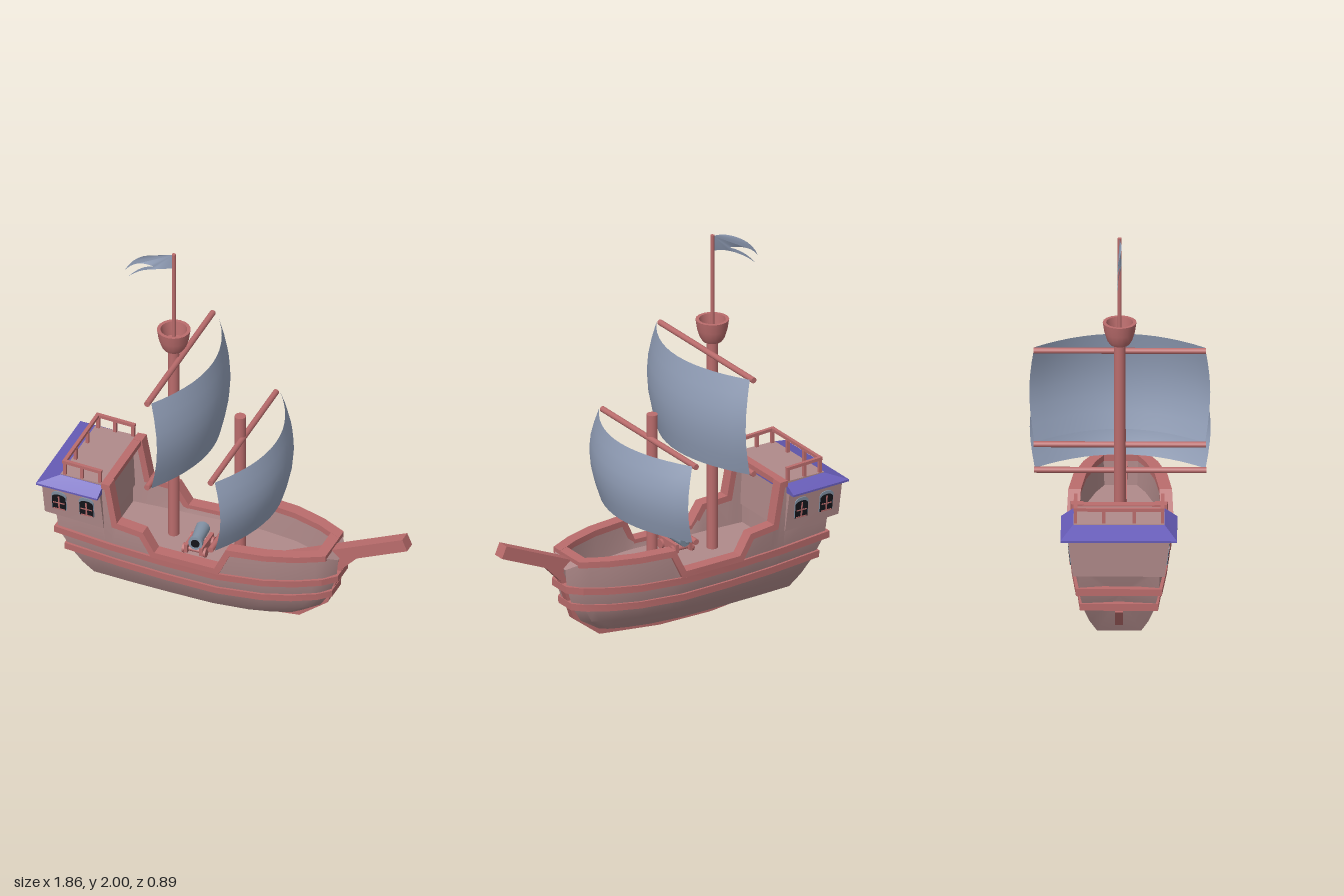
import * as THREE from 'three';
import { toCreasedNormals } from 'three/addons/utils/BufferGeometryUtils.js';

const mat = (name, color, side = THREE.FrontSide) => {
  const m = new THREE.MeshStandardMaterial({ color, side });
  m.name = name;
  return m;
};

export function createModel() {
  const ship = new THREE.Group();
  ship.name = 'sailingShip';
  const trim = mat('redWood', 0xba6c6c), trim2 = mat('redWoodOpen', 0xba6c6c, THREE.DoubleSide);
  const plank = mat('paleWood', 0xb08a8a), cloth = mat('sailCloth', 0x929fb8, THREE.DoubleSide);
  const purple = mat('roofPurple', 0x675cb8), metal = mat('gunMetal', 0x8393a6), black = mat('black', 0x14141a);
  const V = (x, y, z) => new THREE.Vector3(x, y, z);

  const add = (name, geo, material, parent = ship) => {
    const m = new THREE.Mesh(geo, material);
    m.name = name;
    parent.add(m);
    return m;
  };
  const box = (name, x0, x1, y0, y1, z0, z1, material, parent = ship) => {
    const m = add(name, new THREE.BoxGeometry(x1 - x0, y1 - y0, z1 - z0), material, parent);
    m.position.set((x0 + x1) / 2, (y0 + y1) / 2, (z0 + z1) / 2);
    return m;
  };
  const rod = (name, a, b, r0, r1, material, sides = 16) => {
    const m = add(name, new THREE.CylinderGeometry(r1, r0, a.distanceTo(b), sides), material);
    m.position.lerpVectors(a, b, 0.5);
    m.quaternion.setFromUnitVectors(V(0, 1, 0), b.clone().sub(a).normalize());
    return m;
  };

  // Closed skin through rings of points, turned outwards by its signed volume
  const loft = (rings, caps = true, crease = 0.45) => {
    const n = rings[0].length, pts = rings.flat(), idx = [];
    for (let i = 0; i < rings.length - 1; i++) for (let j = 0; j < n; j++) {
      const a = i * n + j, b = i * n + (j + 1) % n;
      idx.push(a, b, b + n, a, b + n, a + n);
    }
    if (caps) [0, rings.length - 1].forEach((r) => {
      const c = pts.length;
      pts.push(rings[r].reduce((s, p) => s.add(p), V(0, 0, 0)).divideScalar(n));
      for (let j = 0; j < n; j++) {
        const a = r * n + j, b = r * n + (j + 1) % n;
        idx.push(...(r ? [a, b, c] : [b, a, c]));
      }
    });
    let vol = 0;
    for (let i = 0; i < idx.length; i += 3) {
      vol += pts[idx[i]].dot(pts[idx[i + 1]].clone().cross(pts[idx[i + 2]]));
    }
    if (vol < 0) idx.reverse();
    const g = new THREE.BufferGeometry().setFromPoints(pts);
    g.setIndex(idx);
    return toCreasedNormals(g, crease);
  };

  // Hull shape: stern x, bow x and half width by height; plan fullness by length
  const profile = [[0.07, -0.7, 0.36, 0.135], [0.14, -0.745, 0.47, 0.18], [0.22, -0.79, 0.52, 0.215],
    [0.34, -0.85, 0.56, 0.245], [0.5, -0.87, 0.575, 0.252], [0.75, -0.87, 0.575, 0.252]];
  const plan = [[0, 0.8], [0.2, 0.9], [0.39, 0.96], [0.6, 1], [0.775, 0.87], [0.88, 0.68], [0.966, 0.44], [1, 0.2]];
  const interp = (table, t, col) => {
    let i = 1;
    while (i < table.length - 1 && t > table[i][0]) i++;
    const a = table[i - 1], b = table[i];
    return THREE.MathUtils.lerp(a[col], b[col], THREE.MathUtils.clamp((t - a[0]) / (b[0] - a[0]), 0, 1));
  };
  const hullX = (u, y) => THREE.MathUtils.lerp(interp(profile, y, 1), interp(profile, y, 2), u);
  const hullZ = (u, y) => interp(profile, y, 3) * interp(plan, u, 1);
  const uAt = (x) => (x + 0.87) / 1.445;

  // Hull with sunken deck: [x, top of wall, deck height]
  const stations = [[-0.87, 0.46, 0.46], [-0.74, 0.46, 0.46], [-0.612, 0.46, 0.46], [-0.61, 0.68, 0.33],
    [-0.57, 0.68, 0.33], [-0.53, 0.465, 0.33], [-0.39, 0.455, 0.33], [-0.33, 0.355, 0.33], [-0.15, 0.355, 0.33],
    [0.005, 0.355, 0.33], [0.062, 0.475, 0.33], [0.25, 0.475, 0.33], [0.4, 0.475, 0.33], [0.485, 0.475, 0.33],
    [0.487, 0.475, 0.475], [0.53, 0.475, 0.475], [0.575, 0.44, 0.44]];
  add('hull', loft(stations.map(([x, top, deck]) => {
    const u = uAt(x);
    const half = [0.07, 0.14, 0.22, 0.34, top].map((y) => V(hullX(u, y), y, hullZ(u, y)));
    half.push(V(hullX(u, top), top, Math.max(hullZ(u, top) - 0.045, 0.005)));
    half.push(V(hullX(u, top), deck, Math.max(hullZ(u, top) - 0.05, 0.004)));
    return [...half, ...half.map((p) => V(p.x, p.y, -p.z)).reverse()];
  })), plank);

  // Keel and stem
  const keel = new THREE.Shape([[-0.8, 0.21], [-0.7, 0.085], [-0.56, 0.03], [-0.3, 0], [0, 0], [0.35, 0.035], [0.5, 0.15],
    [0.575, 0.37], [0.66, 0.46], [0.63, 0.5], [0.53, 0.44], [0.46, 0.2], [0.32, 0.09], [-0.62, 0.09], [-0.74, 0.21]]
    .map((p) => new THREE.Vector2(...p)));
  add('keel', new THREE.ExtrudeGeometry(keel, { depth: 0.04, bevelEnabled: false }).translate(0, 0, -0.02), trim);

  // Top rails, stepped along the hull
  const path = [[-0.61, 0.702], [-0.565, 0.702], [-0.525, 0.488], [-0.385, 0.475], [-0.322, 0.375], [-0.15, 0.375],
    [0, 0.375], [0.057, 0.495], [0.25, 0.495], [0.4, 0.495], [0.53, 0.495]].map((p) => new THREE.Vector2(...p));
  const railRings = (s) => path.map((p, i) => {
    const d0 = p.clone().sub(path[Math.max(i - 1, 0)]).normalize();
    const d1 = path[Math.min(i + 1, path.length - 1)].clone().sub(p).normalize();
    const d = d0.clone().add(d1).normalize();
    const t = 0.032 / Math.max(d.dot(i ? d0 : d1), 0.6);
    const q = V(p.x + d.y * t, p.y - d.x * t, 0);
    const zo = hullZ(uAt(p.x), 0.5) + 0.01, zi = zo - 0.062;
    return [V(p.x, p.y, s * zo), V(q.x, q.y, s * zo), V(q.x, q.y, s * zi), V(p.x, p.y, s * zi)];
  });
  for (const s of [1, -1]) add(s > 0 ? 'frontRail' : 'backRail', loft(railRings(s), true, 0.3), trim);
  box('bowRail', 0.475, 0.53, 0.463, 0.494, -0.115, 0.115, trim);
  box('cabinFrontRail', -0.612, -0.57, 0.672, 0.7, -0.215, 0.215, trim);

  // Rubbing bands around the hull
  const us = [0, 0.1, 0.2, 0.39, 0.6, 0.775, 0.88, 0.966, 1];
  for (const base of [0.222, 0.322]) {
    const side = (s) => us.map((u) => {
      const y = base + 0.08 * (u - 0.55) ** 2, x = hullX(u, y), z = hullZ(u, y);
      const e = u === 0 ? -0.018 : u === 1 ? 0.014 : 0;
      const P = (o, k, dy) => V(x + e * k, y + dy, s * (z + o));
      return [P(0.016, 1, 0.018), P(0.014, 1, -0.018), P(-0.03, -1, -0.018), P(-0.03, -1, 0.018)];
    });
    const rings = [...side(1), ...side(-1).reverse()];
    add('hullBand', loft([...rings, rings[0]], false, 0.3), trim);
  }

  // Bowsprit
  const sprit = box('bowsprit', -0.355, 0.355, -0.033, 0.033, -0.032, 0.032, trim);
  sprit.position.set(0.588, 0.469, 0);
  sprit.rotation.z = 0.406;

  // Stern cabin, roof and top deck
  const rect = (x0, x1, y0, y1, z) => [V(x0, y0, z), V(x1, y1, z), V(x1, y1, -z), V(x0, y0, -z)];
  add('cabin', loft([rect(-0.912, -0.6, 0.45, 0.43, 0.225), rect(-0.92, -0.612, 0.65, 0.65, 0.25)]), plank);
  add('cabinRoof', loft([rect(-0.935, -0.61, 0.64, 0.632, 0.285), rect(-0.935, -0.61, 0.65, 0.642, 0.285),
    rect(-0.83, -0.606, 0.69, 0.682, 0.225)], true, 0.1), purple);
  box('cabinDeck', -0.83, -0.6, 0.682, 0.693, -0.222, 0.222, plank);

  // Cabin deck railing
  for (const s of [1, -1]) {
    const z = s * 0.213;
    const r = box('deckRail', -0.822, -0.615, 0.753, 0.769, z - 0.009, z + 0.009, trim);
    r.rotation.z = -0.05;
    for (const x of [-0.81, -0.72, -0.625]) box('railPost', x - 0.008, x + 0.008, 0.685, 0.758, z - 0.008, z + 0.008, trim);
    box('railPost', -0.818, -0.802, 0.685, 0.758, s * 0.075 - 0.008, s * 0.075 + 0.008, trim);
  }
  box('sternDeckRail', -0.822, -0.804, 0.757, 0.773, -0.22, 0.22, trim);

  // Arched windows, two on each side
  const arch = (w, h) => {
    const s = new THREE.Shape();
    s.moveTo(-w, -h).lineTo(w, -h).lineTo(w, h * 0.6);
    s.quadraticCurveTo(w * 0.8, h, 0, h).quadraticCurveTo(-w * 0.8, h, -w, h * 0.6);
    return s;
  };
  for (const s of [1, -1]) {
    const wall = new THREE.Group();
    wall.name = s > 0 ? 'frontWindows' : 'backWindows';
    wall.rotation.y = s > 0 ? 0 : Math.PI;
    ship.add(wall);
    for (const x of [-0.83, -0.685]) {
      const w = new THREE.Group();
      w.name = 'window';
      w.position.set(s * x, 0.545, 0.2385);
      w.rotation.x = 0.115;
      wall.add(w);
      const plate = (name, a, depth, m) => add(name, new THREE.ExtrudeGeometry(a, { depth, bevelEnabled: false }), m, w);
      plate('windowFrame', arch(0.039, 0.055), 0.004, metal).position.y = 0.002;
      plate('windowPane', arch(0.036, 0.046), 0.006, black).position.y = -0.007;
      box('mullion', -0.004, 0.004, -0.05, 0.03, 0, 0.008, trim, w);
      for (const y of [-0.05, -0.012]) box('crossBar', -0.03, 0.03, y - 0.003, y + 0.003, 0, 0.008, trim, w);
    }
  }

  // Masts, crow's nest and pole
  rod('mainMast', V(-0.322, 0.32, 0), V(-0.322, 1.46, 0), 0.028, 0.028, trim);
  rod('foreMast', V(0.03, 0.32, 0), V(0.03, 1.127, 0), 0.028, 0.028, trim);
  rod('flagPole', V(-0.322, 1.44, 0), V(-0.322, 2, 0), 0.01, 0.01, trim, 10);
  const cup = [[0, 1.437], [0.048, 1.437], [0.063, 1.46], [0.075, 1.5], [0.083, 1.552], [0.066, 1.552], [0.055, 1.48], [0, 1.475]];
  const nest = new THREE.LatheGeometry(cup.map((p) => new THREE.Vector2(...p)), 18);
  add('crowsNest', toCreasedNormals(nest, 0.6), trim2).position.x = -0.322;

  // Yards and bellied sails
  for (const [x, y0, y1] of [[-0.29, 0.885, 1.385], [0.046, 0.602, 1.002]]) {
    for (const y of [y0, y1]) rod('yard', V(x, y, -0.422), V(x, y, 0.422), 0.015, 0.015, trim, 12);
    const sail = new THREE.PlaneGeometry(2, 1, 14, 6), p = sail.attributes.position;
    for (let i = 0; i < p.count; i++) {
      const a = p.getX(i), v = p.getY(i) + 0.5, belly = Math.sin(Math.PI * v);
      const px = x + 0.022 + 0.04 * belly + 0.15 * (1 - a * a);
      p.setXYZ(i, px, y0 + v * (y1 - y0 + 0.008) + 0.008 * (1 - a * a), -a * (0.418 + 0.025 * belly));
    }
    sail.computeVertexNormals();
    add('sail', sail, cloth);
  }

  // Swallow-tailed flag with a slight wave
  const tail = new THREE.Shape();
  tail.moveTo(-0.325, 1.995).quadraticCurveTo(-0.52, 1.97, -0.585, 1.83);
  tail.quadraticCurveTo(-0.53, 1.905, -0.425, 1.905).quadraticCurveTo(-0.5, 1.88, -0.565, 1.798);
  tail.quadraticCurveTo(-0.47, 1.89, -0.325, 1.915);
  const flag = new THREE.ShapeGeometry(tail, 8), fp = flag.attributes.position;
  for (let i = 0; i < fp.count; i++) fp.setZ(i, 0.01 * Math.sin((fp.getX(i) + 0.325) * -22));
  flag.computeVertexNormals();
  add('flag', flag, cloth);

  // Cannon on its carriage, aimed over the side
  const rear = V(-0.168, 0.405, 0.0), muzzle = V(-0.147, 0.412, 0.145);
  rod('cannonBarrel', rear, muzzle, 0.036, 0.028, metal);
  rod('cannonMuzzleRing', V(-0.149, 0.411, 0.13), V(-0.1465, 0.412, 0.15), 0.036, 0.036, metal);
  rod('cannonBore', V(-0.148, 0.412, 0.14), V(-0.1462, 0.412, 0.153), 0.022, 0.022, black);
  add('cannonKnob', new THREE.SphereGeometry(0.014, 10, 8), metal).position.set(-0.17, 0.404, -0.012);
  for (const x of [-0.198, -0.118]) box('carriageCheek', x - 0.009, x + 0.009, 0.345, 0.39, 0, 0.15, trim);
  for (const z of [0.025, 0.125]) {
    rod('carriageAxle', V(-0.215, 0.358, z), V(-0.1, 0.358, z), 0.012, 0.012, trim, 8);
    for (const x of [-0.214, -0.102]) rod('carriageWheel', V(x - 0.006, 0.355, z), V(x + 0.006, 0.355, z), 0.025, 0.025, trim, 12);
  }
  return ship;
}
